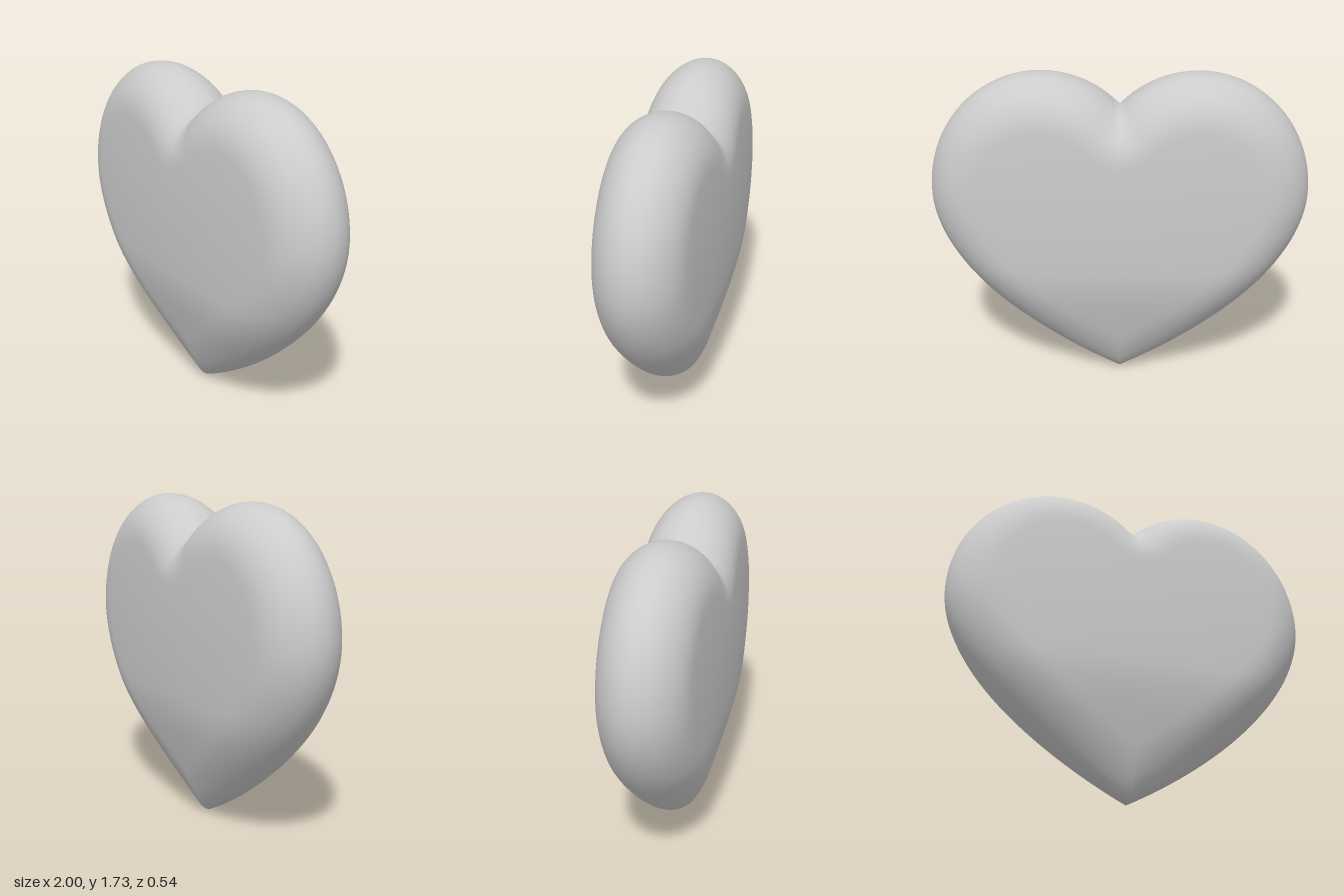
import * as THREE from 'three';
import { mergeVertices } from 'three/addons/utils/BufferGeometryUtils.js';

const HALF = 512; // fine outline samples per half
const STEP = 8; // fine samples per mesh column
const RINGS = 26; // rings from centre to rim, per side
const CENTRE_Y = 0.97;

// Closed heart outline, counter-clockwise from the bottom tip
function heartOutline() {
  const half = new THREE.Path();
  half.moveTo(0, 0);
  half.bezierCurveTo(0.5, 0.25, 1, 0.68, 1, 1.09);
  half.bezierCurveTo(1, 1.45, 0.73, 1.73, 0.41, 1.73);
  half.bezierCurveTo(0.25, 1.73, 0.1, 1.66, 0, 1.55);
  const right = half.getSpacedPoints(HALF);
  const left = right.slice(1, -1).reverse().map((p) => new THREE.Vector2(-p.x, p.y));
  return [...right, ...left];
}

// Half thickness: shallow dome, rounded rim, slimmer towards the tip
function halfThickness(x, y, outline) {
  let d2 = Infinity;
  for (const p of outline) d2 = Math.min(d2, (p.x - x) ** 2 + (p.y - y) ** 2);
  const u = Math.max(0, 1 - Math.sqrt(d2) / 0.25);
  const rim = Math.sqrt(1 - u ** 2.2);
  const dome = 0.27 * Math.sqrt(1 - 0.45 * (x * x + ((y - 1) / 0.9) ** 2));
  const taper = 0.62 + 0.38 * THREE.MathUtils.smoothstep(y, 0, 0.7);
  return dome * rim * taper;
}

// Rings run from the front centre over the rim to the back centre
function heartGeometry() {
  const outline = heartOutline();
  const cols = outline.length / STEP;
  const positions = [];
  const index = [];
  for (let i = -RINGS; i <= RINGS; i++) {
    const s = 1 - (i / RINGS) ** 2;
    for (let j = 0; j < cols; j++) {
      const p = outline[j * STEP];
      const x = p.x * s;
      const y = CENTRE_Y + (p.y - CENTRE_Y) * s;
      const z = i === 0 ? 0 : -Math.sign(i) * halfThickness(x, y, outline);
      positions.push(x, y, z);
    }
  }
  for (let i = 0; i < 2 * RINGS; i++) {
    for (let j = 0; j < cols; j++) {
      const k = (j + 1) % cols;
      const a = i * cols + j, b = a + cols;
      const c = (i + 1) * cols + k, d = i * cols + k;
      if (i < 2 * RINGS - 1) index.push(a, b, c);
      else index.push(a, b, d);
      if (i > 0 && i < 2 * RINGS - 1) index.push(a, c, d);
    }
  }
  let geometry = new THREE.BufferGeometry();
  geometry.setAttribute('position', new THREE.Float32BufferAttribute(positions, 3));
  geometry.setIndex(index);
  geometry = mergeVertices(geometry, 1e-5); // weld the two centre points
  geometry.computeVertexNormals();
  return geometry;
}

export function createModel() {
  const group = new THREE.Group();
  group.name = 'puffedHeart';
  const heart = new THREE.Mesh(heartGeometry(), new THREE.MeshStandardMaterial({ color: 0xcccccc }));
  heart.name = 'heartBody';
  group.add(heart);
  return group;
}
